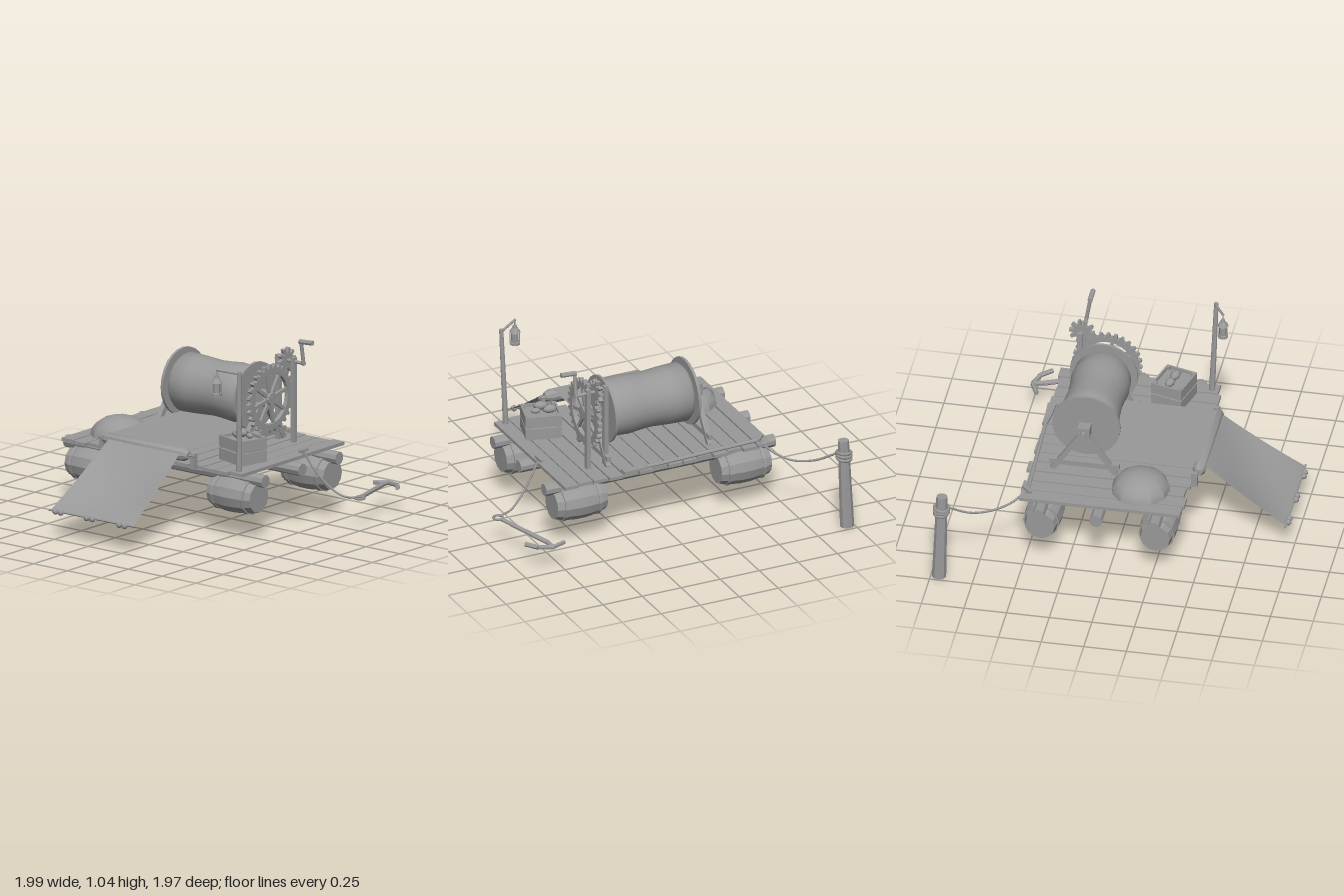
import * as THREE from 'three';
import { toCreasedNormals } from 'three/addons/utils/BufferGeometryUtils.js';

export function createModel() {
  const model = new THREE.Group();
  const grey = new THREE.MeshStandardMaterial({ color: 0x999999, side: THREE.DoubleSide });
  grey.name = 'grey';
  const V = (p) => new THREE.Vector3(...p);

  const add = (name, geo, pos = [0, 0, 0], parent = model) => {
    const mesh = new THREE.Mesh(geo, grey);
    mesh.name = name;
    mesh.position.set(...pos);
    parent.add(mesh);
    return mesh;
  };
  const box = (name, size, pos, parent) => add(name, new THREE.BoxGeometry(...size), pos, parent);
  // tapered round bar between two points
  const rod = (name, a, b, r0, r1 = r0, sides = 8) => {
    const dir = V(b).sub(V(a));
    const geo = toCreasedNormals(new THREE.CylinderGeometry(r1, r0, dir.length(), sides), 0.5);
    const mesh = add(name, geo, V(a).add(V(b)).multiplyScalar(0.5).toArray());
    mesh.quaternion.setFromUnitVectors(new THREE.Vector3(0, 1, 0), dir.normalize());
    return mesh;
  };
  // square timber between two points of equal x
  const timber = (name, a, b, w, d) => {
    const dir = V(b).sub(V(a));
    const mesh = box(name, [w, dir.length(), d], V(a).add(V(b)).multiplyScalar(0.5).toArray());
    mesh.rotation.x = Math.atan2(dir.z, dir.y);
    return mesh;
  };
  const rope = (name, pts, r = 0.007) =>
    add(name, new THREE.TubeGeometry(new THREE.CatmullRomCurve3(pts.map(V)), 32, r, 6));
  // turned shape around the x axis, points are [radius, x]
  const turned = (pts, sides, crease = 0.5) => toCreasedNormals(
    new THREE.LatheGeometry(pts.map((p) => new THREE.Vector2(...p)), sides).rotateZ(-Math.PI / 2), crease);

  // deck planks
  for (let i = 0; i < 14; i++) {
    const front = 0.405 + 0.012 * Math.sin(i * 2.3), back = -0.535 + 0.012 * Math.sin(i * 3.7);
    box('plank', [0.087, 0.02, front - back], [-0.636 + i * 0.0955, 0.4 + 0.002 * Math.sin(i * 5), (front + back) / 2]);
  }

  // log beams and barrel floats
  const barrel = turned([[0, -0.16], [0.086, -0.16], [0.102, -0.1], [0.11, -0.03], [0.11, 0.03],
    [0.102, 0.1], [0.086, 0.16], [0, 0.16]], 12);
  const hoop = turned([[0.098, -0.01], [0.106, -0.01], [0.106, 0.01], [0.098, 0.01]], 12);
  for (const z of [-0.41, -0.073, 0.265]) {
    rod('logBeam', [-0.75, 0.352, z], [0.72, 0.352, z], 0.038, 0.038, 9);
    if (z === -0.073) continue;
    for (const x of [-0.54, 0.51]) {
      add('barrel', barrel, [x, 0.245, z]);
      for (const s of [-1, 1]) add('barrelHoop', hoop, [x + s * 0.108, 0.245, z]);
    }
  }

  // winch drum with rolled cloth
  const DY = 0.688, DZ = -0.217;
  add('clothRoll', turned([[0, -0.265], [0.158, -0.265], [0.174, -0.245], [0.17, -0.14], [0.162, -0.02],
    [0.166, 0.05], [0.174, 0.13], [0.168, 0.215], [0.155, 0.242], [0, 0.242]], 24, 0.8), [0, DY, DZ]);
  for (const x of [-0.278, 0.254])
    rod('drumFlange', [x - 0.008, DY, DZ], [x + 0.008, DY, DZ], 0.2, 0.2, 24);
  rod('drumAxle', [-0.405, DY, DZ], [0.385, DY, DZ], 0.018);
  for (const x of [-0.342, 0.308]) {
    for (const z of [-0.03, -0.405]) timber('frameLeg', [x, 0.41, z], [x, 0.69, DZ], 0.03, 0.03);
    box('frameCrossbar', [0.025, 0.03, 0.41], [x, 0.463, DZ]);
    box('axleBlock', [0.065, 0.075, 0.07], [x, DY, DZ]);
  }

  // toothed outline and gears, facing x
  const toothed = (r, tip, n) => {
    const s = new THREE.Shape();
    for (let i = 0; i < n * 4; i++) {
      const a = ((i + (i % 2 ? 0.15 : -0.15)) / (n * 4)) * Math.PI * 2;
      const q = i % 4 < 2 ? tip : r;
      s[i ? 'lineTo' : 'moveTo'](q * Math.cos(a), q * Math.sin(a));
    }
    s.closePath();
    return s;
  };
  const wheel = (shape, depth) => new THREE.ExtrudeGeometry(shape, { depth, bevelEnabled: false, curveSegments: 20 })
    .translate(0, 0, -depth / 2).rotateY(Math.PI / 2);
  const GX = 0.362;
  const rim = toothed(0.185, 0.205, 28);
  rim.holes.push(new THREE.Path().absarc(0, 0, 0.15, 0, Math.PI * 2, true));
  add('gearRim', wheel(rim, 0.024), [GX, DY, DZ]);
  for (let i = 0; i < 4; i++)
    box('gearSpokes', [0.016, 0.31, 0.02], [GX, DY, DZ]).rotation.x = (i * Math.PI) / 4 + 0.2;
  rod('gearHub', [GX - 0.022, DY, DZ], [GX + 0.022, DY, DZ], 0.038, 0.038, 12);

  // pinion, its posts and the crank
  const PY = 0.888, PZ = -0.366;
  add('pinion', wheel(toothed(0.047, 0.075, 10), 0.026), [GX, PY, PZ]);
  for (const x of [0.305, 0.418]) box('pinionPost', [0.026, 0.505, 0.03], [x, 0.66, PZ]);
  rod('pinionShaft', [0.285, PY, PZ], [0.5, PY, PZ], 0.011);
  rod('crankArm', [0.492, PY - 0.01, PZ], [0.492, 1.025, -0.342], 0.011);
  rod('crankHandle', [0.482, 1.022, -0.342], [0.578, 1.028, -0.342], 0.015);

  // front roller
  add('frontRoller', turned([[0, -0.33], [0.022, -0.33], [0.038, -0.3], [0.038, 0.27], [0.022, 0.3], [0, 0.3]], 10),
    [0, 0.475, 0.447]);
  rod('rollerAxle', [-0.37, 0.475, 0.44], [0.34, 0.475, 0.44], 0.01);
  for (const x of [-0.352, 0.322]) box('rollerBracket', [0.025, 0.09, 0.035], [x, 0.442, 0.43]);

  // cloth sheet across the deck and hanging ramp
  const sheet = (name, rule) => {
    const geo = new THREE.PlaneGeometry(1, 1, 10, 16);
    const p = geo.attributes.position;
    for (let i = 0; i < p.count; i++) p.setXYZ(i, ...rule(p.getX(i) * 2, 0.5 - p.getY(i)));
    geo.computeVertexNormals();
    return add(name, geo);
  };
  sheet('deckCloth', (u, v) => [-0.012 + u * 0.262, 0.516, DZ + v * 0.664]);
  sheet('rampCloth', (u, v) => [
    -0.006 + u * (0.262 + 0.042 * v),
    0.49 - 0.335 * v - Math.sin(Math.PI * v) * (0.01 + 0.04 * (1 - u * u)),
    0.475 + 0.485 * v]);
  rod('rampBar', [-0.328, 0.153, 0.955], [0.312, 0.157, 0.955], 0.006, 0.006, 6);
  for (const x of [-0.25, -0.018, 0.222])
    for (const s of [-1, 1])
      add('rampWeight', new THREE.SphereGeometry(0.018, 8, 6), [x + s * 0.02, 0.153, 0.965]);

  // domed bundle
  add('bundle', toCreasedNormals(new THREE.SphereGeometry(0.18, 11, 5, 0, Math.PI * 2, 0, Math.PI / 2)
    .scale(1, 0.66, 0.95), 0.5), [-0.458, 0.406, 0.135]);

  // slatted crate
  const crate = new THREE.Group();
  crate.name = 'crate';
  crate.position.set(0.464, 0.41, 0.155);
  crate.rotation.y = -0.27;
  model.add(crate);
  box('crateFloor', [0.19, 0.012, 0.17], [0, 0.006, 0], crate);
  box('crateFilling', [0.19, 0.01, 0.17], [0, 0.125, 0], crate);
  for (const y of [0.04, 0.115])
    for (const s of [-1, 1]) {
      box('crateSlat', [0.21, 0.066, 0.012], [0, y, s * 0.09], crate);
      box('crateSlat', [0.012, 0.066, 0.18], [s * 0.1, y, 0], crate);
    }
  for (const x of [-1, 1])
    for (const z of [-1, 1]) box('crateCorner', [0.02, 0.15, 0.02], [x * 0.088, 0.076, z * 0.078], crate);
  [[-0.05, 0.15, 0, 0.045], [0, 0.172, 0.01, 0.045], [0.035, 0.155, -0.02, 0.03]].forEach(([x, y, z, r]) =>
    add('crateGoods', new THREE.SphereGeometry(r, 8, 6).scale(1, 0.55, 0.6), [x, y, z], crate));

  // lamp post and hanging lantern
  rod('lampPost', [0.594, 0.405, 0.352], [0.612, 1.01, 0.374], 0.018, 0.013);
  rod('lampArm', [0.614, 0.998, 0.368], [0.492, 1.018, 0.437], 0.008);
  rod('lampHook', [0.495, 1.016, 0.435], [0.495, 0.97, 0.435], 0.004, 0.004, 6);
  const lantern = [[0, 0], [0.03, 0], [0.03, 0.016], [0.022, 0.018], [0.022, 0.075], [0.034, 0.078],
    [0.014, 0.108], [0.012, 0.122], [0, 0.122]];
  add('lantern', toCreasedNormals(new THREE.LatheGeometry(lantern.map((p) => new THREE.Vector2(...p)), 8), 0.4),
    [0.495, 0.862, 0.435]);
  for (let i = 0; i < 4; i++) {
    const a = (i * Math.PI) / 2 + 0.4, x = 0.495 + 0.027 * Math.cos(a), z = 0.435 + 0.027 * Math.sin(a);
    rod('lanternBar', [x, 0.87, z], [x, 0.942, z], 0.003, 0.003, 5);
  }

  // mooring pole, coils, rope and cleat
  rod('mooringPole', [-0.957, 0, -0.952], [-0.94, 0.547, -0.938], 0.042, 0.033, 9);
  [0.435, 0.453, 0.471].forEach((y, i) => {
    const coil = add('poleCoil', new THREE.TorusGeometry(0.042, 0.009, 6, 16), [-0.943, y, -0.94]);
    coil.rotation.set(Math.PI / 2 + 0.12 * (i - 1), 0.08, 0);
  });
  rope('mooringRope', [[-0.91, 0.45, -0.9], [-0.83, 0.375, -0.79], [-0.74, 0.345, -0.68],
    [-0.67, 0.365, -0.58], [-0.615, 0.42, -0.505]]);
  const cleat = (x, z, turn) => {
    box('cleatBase', [0.02, 0.025, 0.02], [x, 0.418, z]);
    box('cleatBar', [0.075, 0.015, 0.016], [x, 0.433, z]).rotation.y = turn;
  };
  cleat(-0.62, -0.5, 0.8);
  cleat(0.64, -0.18, Math.PI / 2);

  // oar lying on the deck
  rod('oarShaft', [-0.63, 0.422, -0.497], [0.12, 0.422, -0.525], 0.011);
  const blade = new THREE.Shape([[0, -0.01], [0.08, -0.02], [0.2, -0.026], [0.2, 0.026], [0.08, 0.018], [0, 0.01]]
    .map((p) => new THREE.Vector2(...p)));
  add('oarBlade', new THREE.ExtrudeGeometry(blade, { depth: 0.014, bevelEnabled: false }).rotateX(-Math.PI / 2),
    [0.068, 0.414, -0.523]);

  // anchor and its rope
  rope('anchorRope', [[0.645, 0.425, -0.18], [0.69, 0.35, -0.195], [0.77, 0.25, -0.225],
    [0.86, 0.185, -0.258], [0.945, 0.178, -0.285]], 0.006);
  add('anchorRing', new THREE.TorusGeometry(0.028, 0.007, 6, 16).rotateX(Math.PI / 2), [0.96, 0.178, -0.3]);
  rod('anchorShank', [0.952, 0.178, -0.325], [0.828, 0.16, -0.68], 0.013, 0.015);
  const arms = [[0.735, 0.152, -0.703], [0.82, 0.156, -0.742], [0.905, 0.16, -0.712], [0.957, 0.165, -0.65]];
  for (let i = 0; i < 3; i++) rod('anchorArm', arms[i], arms[i + 1], 0.014, 0.014, 6);
  rod('anchorCrown', [0.828, 0.16, -0.68], [0.822, 0.157, -0.742], 0.013);

  return model;
}
